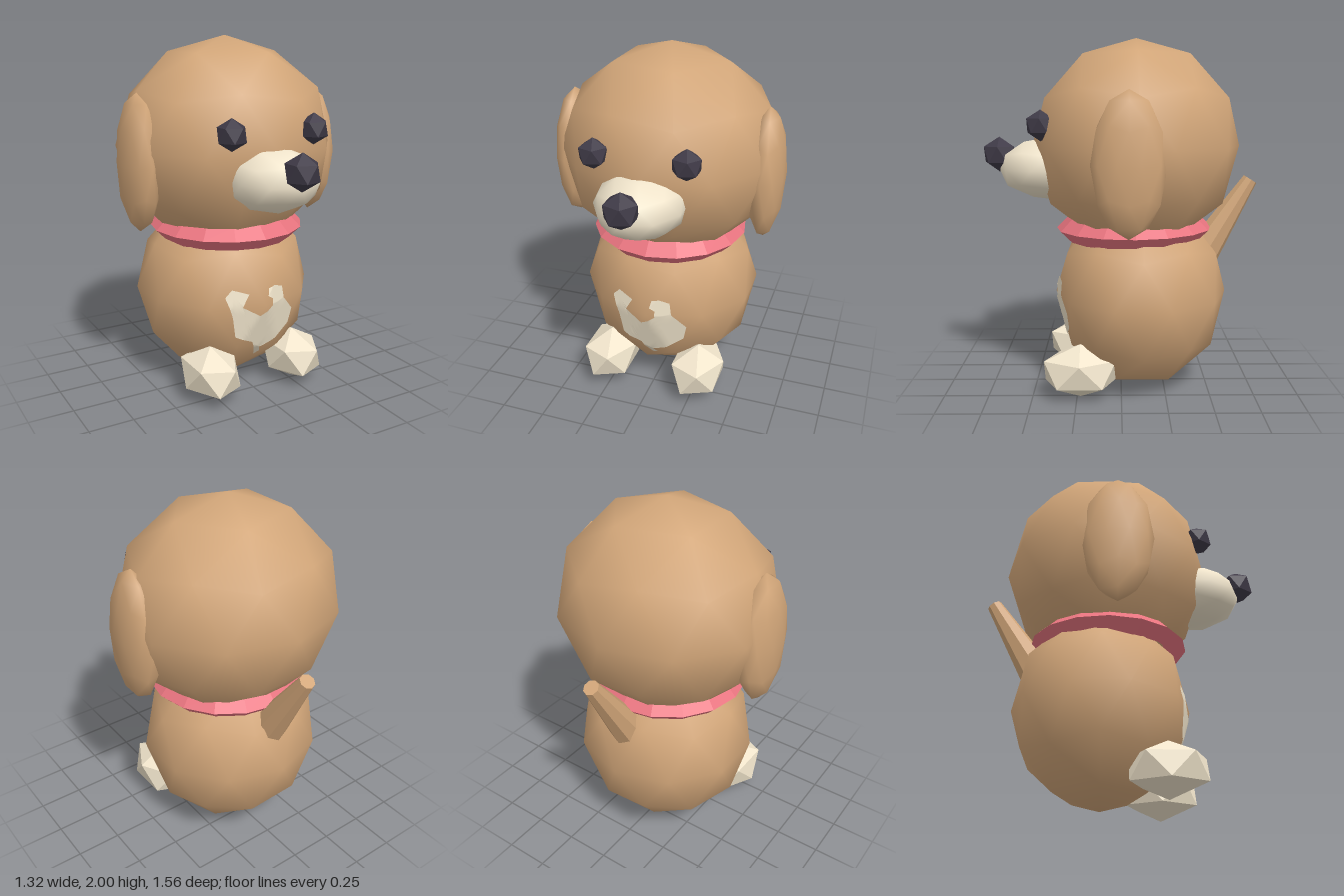
import * as THREE from 'three';
import { mergeVertices } from 'three/addons/utils/BufferGeometryUtils.js';

const FUR = 0xd2a679, CREAM = 0xf0e4cb, DARK = 0x3f3a47, PINK = 0xe8747f;

const material = (color, flatShading = false, side = THREE.FrontSide) => {
  const m = new THREE.MeshStandardMaterial({ color, flatShading, side });
  return m;
};

// Icosphere with a corner at the top and its upper ring starting at +x
function icosphere(detail, [rx, ry, rz]) {
  const geo = new THREE.IcosahedronGeometry(1, detail);
  const t = (1 + Math.sqrt(5)) / 2;
  const up = new THREE.Vector3(0, 1, t).normalize();
  const side = new THREE.Vector3(0, -1, t).normalize();
  side.addScaledVector(up, -side.dot(up)).normalize();
  const out = side.clone().cross(up);
  geo.applyMatrix4(new THREE.Matrix4().makeBasis(side, up, out).invert());
  return geo.scale(rx, ry, rz);
}

// Ellipsoid part: faceted at detail 0, smooth at detail 1
function ball(name, detail, radii, [x, y, z], color) {
  const geo = icosphere(detail, radii).translate(x, y, z);
  const mesh = new THREE.Mesh(geo, material(color, detail === 0));
  mesh.name = name;
  return mesh;
}

// Irregular patch draped over the front of the body
function bellyPatch(body) {
  const outline = [
    [-0.22, 0.61], [-0.18, 0.65], [-0.09, 0.62], [-0.13, 0.55], [-0.03, 0.49], [0.01, 0.51],
    [0.05, 0.54], [0.05, 0.58], [0.02, 0.6], [0.03, 0.64], [0.07, 0.65], [0.13, 0.63],
    [0.14, 0.56], [0.22, 0.47], [0.2, 0.38], [0.09, 0.3], [0.01, 0.27], [0.03, 0.23],
    [0, 0.21], [-0.05, 0.32], [-0.16, 0.37], [-0.18, 0.49],
  ].map(([x, y]) => new THREE.Vector2(x, y));
  const flat = new THREE.ShapeGeometry(new THREE.Shape(outline)).toNonIndexed().attributes.position;
  let tris = [];
  for (let i = 0; i < flat.count; i += 3) {
    tris.push([0, 1, 2].map((k) => new THREE.Vector3().fromBufferAttribute(flat, i + k)));
  }
  for (let level = 0; level < 3; level++) {
    tris = tris.flatMap(([a, b, c]) => {
      const ab = a.clone().lerp(b, 0.5), bc = b.clone().lerp(c, 0.5), ca = c.clone().lerp(a, 0.5);
      return [[a, ab, ca], [ab, b, bc], [ca, bc, c], [ab, bc, ca]];
    });
  }
  const ray = new THREE.Raycaster();
  const back = new THREE.Vector3(0, 0, -1);
  const points = tris.flat().map((p) => {
    ray.set(new THREE.Vector3(p.x, p.y, 2), back);
    const hit = ray.intersectObject(body)[0];
    return new THREE.Vector3(p.x, p.y, (hit ? hit.point.z : 0.3) + 0.008);
  });
  const geo = mergeVertices(new THREE.BufferGeometry().setFromPoints(points), 1e-4);
  geo.computeVertexNormals();
  const mesh = new THREE.Mesh(geo, material(CREAM, false, THREE.DoubleSide));
  mesh.name = 'bellyPatch';
  return mesh;
}

export function createModel() {
  const dog = new THREE.Group();
  dog.name = 'dog';

  // Body, head and face
  const body = ball('body', 1, [0.52, 0.55, 0.495], [0, 0.55, -0.115], FUR);
  dog.add(
    body,
    bellyPatch(body),
    ball('head', 1, [0.63, 0.6, 0.592], [0, 1.4, -0.085], FUR),
    ball('muzzle', 1, [0.25, 0.18, 0.3], [0, 1.27, 0.4], CREAM),
    ball('nose', 0, [0.1, 0.1, 0.1], [0, 1.35, 0.695], DARK),
  );

  // Mirrored pairs
  for (const [s, side] of [[1, 'left'], [-1, 'right']]) {
    dog.add(
      ball(side + 'Eye', 0, [0.085, 0.085, 0.085], [s * 0.25, 1.52, 0.435], DARK),
      ball(side + 'Ear', 1, [0.105, 0.378, 0.195], [s * 0.56, 1.33, -0.035], FUR),
      ball(side + 'Foot', 0, [0.172, 0.152, 0.235], [s * 0.272, 0.157, 0.23], CREAM),
    );
  }

  // Collar: ring with a diamond cross-section
  const collarGeo = new THREE.TorusGeometry(0.38, 0.066, 4, 16).rotateX(Math.PI / 2);
  const collar = new THREE.Mesh(collarGeo, material(PINK, true));
  collar.name = 'collar';
  collar.position.set(0, 0.93, -0.075);
  collar.rotation.x = 0.01;
  dog.add(collar);

  // Tapered tail leaning back
  const tail = new THREE.Mesh(new THREE.CylinderGeometry(0.043, 0.1, 0.52, 8), material(FUR, true));
  tail.name = 'tail';
  tail.position.set(0, 0.985, -0.607);
  tail.rotation.x = -0.56;
  dog.add(tail);

  return dog;
}
